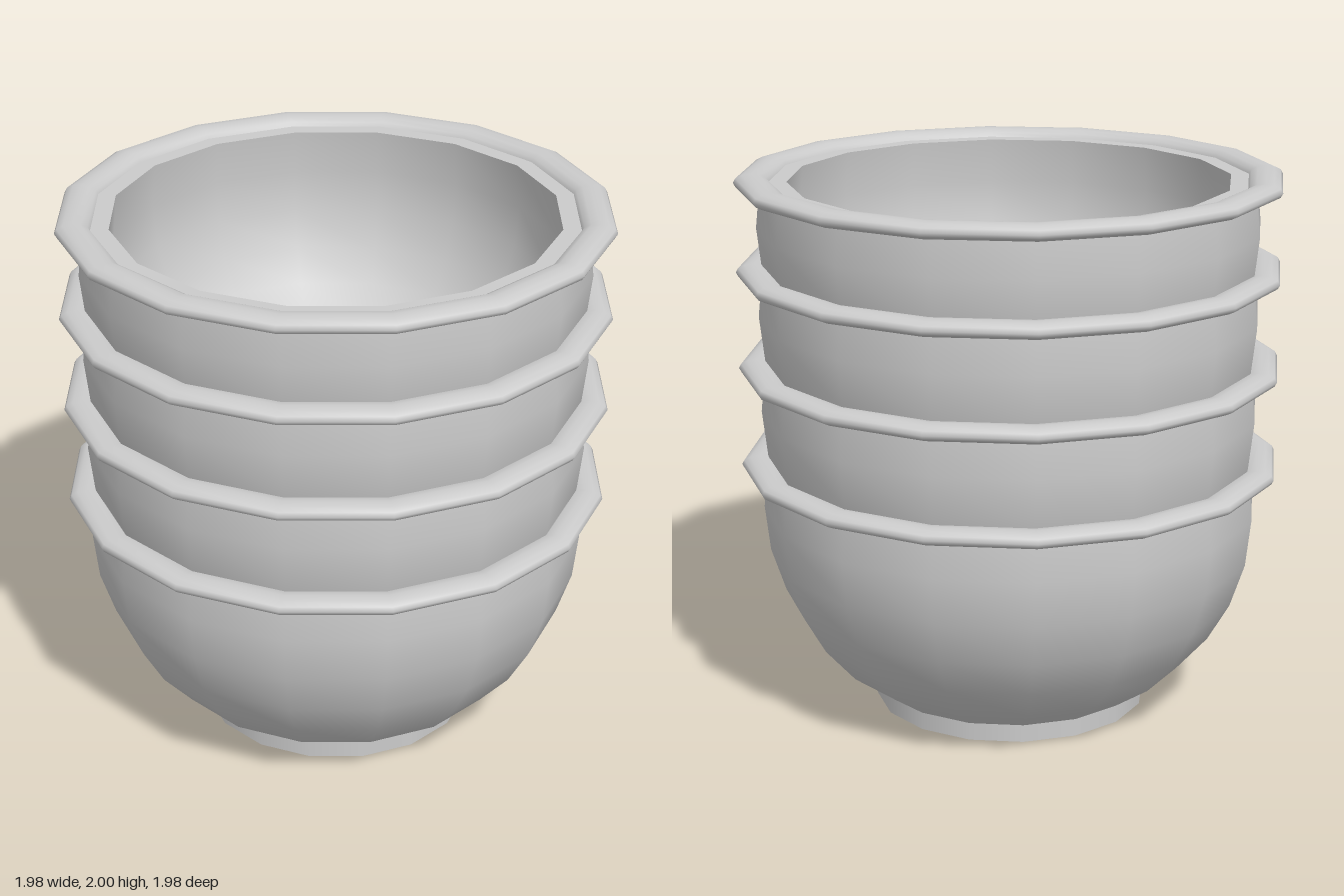
import * as THREE from 'three';

const SIDES = 16;
const material = new THREE.MeshStandardMaterial({ color: 0xcccccc });

function lathe(name, points) {
  const geometry = new THREE.LatheGeometry(points.map(([r, y]) => new THREE.Vector2(r, y)), SIDES);
  const mesh = new THREE.Mesh(geometry, material);
  mesh.name = name;
  return mesh;
}

const LIP = 0.925; // height of the lip and of the rim's middle

function createBowl() {
  const bowl = new THREE.Group();

  // Foot: short solid disc
  const foot = new THREE.Mesh(new THREE.CylinderGeometry(0.505, 0.505, 0.07, SIDES), material);
  foot.name = 'foot';
  foot.position.y = 0.035;
  bowl.add(foot);

  // Rounded wall, slightly drawn in towards the lip
  bowl.add(lathe('outerWall', [
    [0.505, 0.065], [0.645, 0.16], [0.76, 0.29], [0.84, 0.43],
    [0.893, 0.59], [0.912, 0.76], [0.895, LIP],
  ]));
  bowl.add(lathe('lip', [[0.895, LIP], [0.8, LIP]]));
  bowl.add(lathe('innerWall', [
    [0.8, LIP], [0.816, 0.76], [0.8, 0.61], [0.755, 0.47],
    [0.685, 0.35], [0.585, 0.24], [0.46, 0.165], [0.25, 0.15], [0, 0.15],
  ]));

  // Rim: flattened ring around the lip, its seam on the inside
  const section = [];
  const steps = 12;
  for (let i = 0; i <= steps; i++) {
    const a = Math.PI + (i / steps) * Math.PI * 2;
    section.push([0.927 + 0.062 * Math.cos(a), LIP + 0.03 * Math.sin(a)]);
  }
  bowl.add(lathe('rim', section));
  return bowl;
}

export function createModel() {
  const stack = new THREE.Group();
  stack.name = 'bowlStack';
  // Four nested bowls
  [0, 0.365, 0.72, 1.045].forEach((y, i) => {
    const bowl = createBowl();
    bowl.name = `bowl${i + 1}`;
    bowl.position.y = y;
    stack.add(bowl);
  });
  return stack;
}
